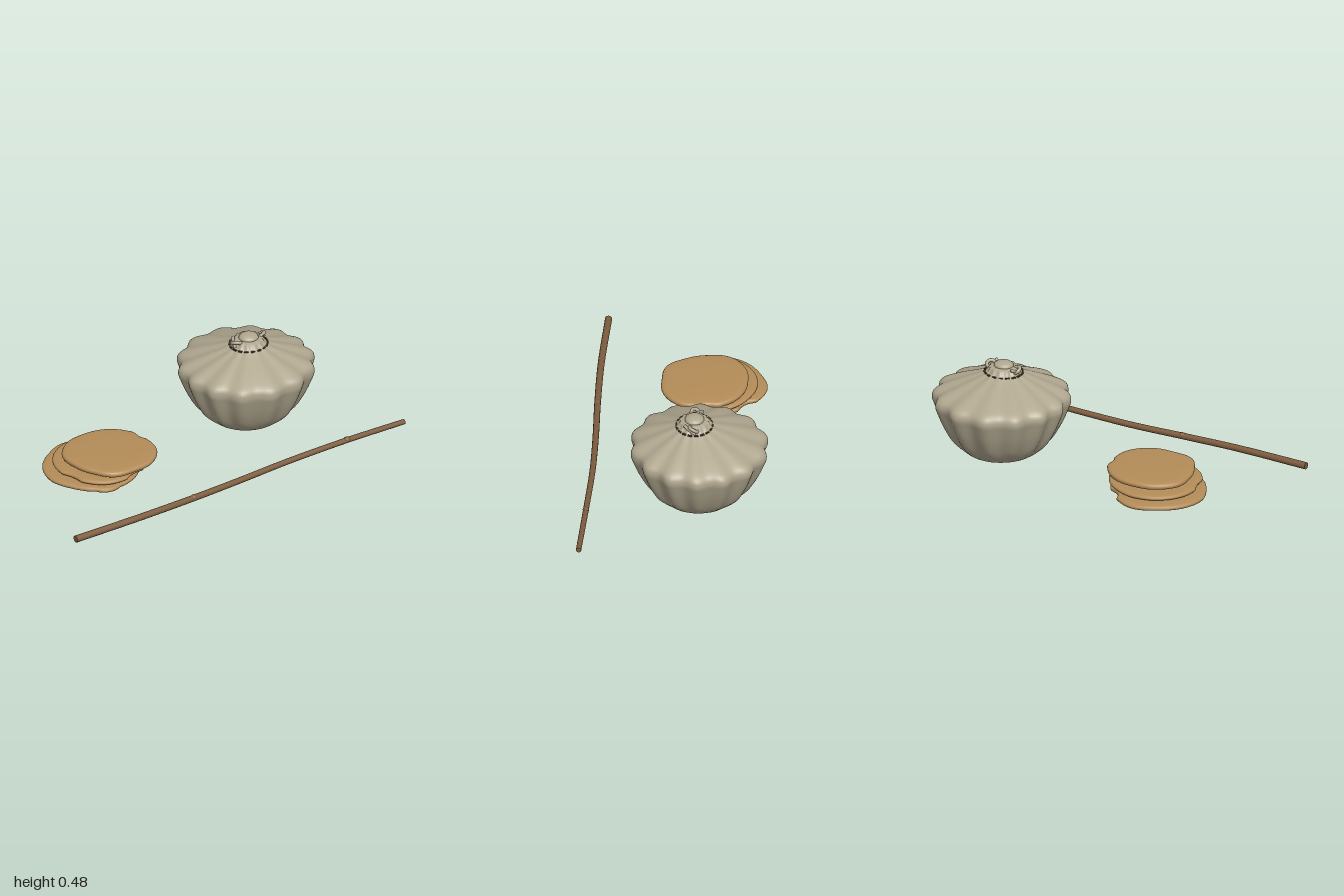
import * as THREE from 'three';
import { mergeVertices } from 'three/addons/utils/BufferGeometryUtils.js';

const mat = (name, color) => Object.assign(new THREE.MeshStandardMaterial({ color }), { name });

// Revolve a profile, move every vertex by a rule, then smooth across the seam
function molded(profile, segments, rule) {
  const g = new THREE.LatheGeometry(profile.map(([r, y]) => new THREE.Vector2(r, y)), segments);
  g.deleteAttribute('uv');
  g.deleteAttribute('normal');
  const p = g.attributes.position, v = new THREE.Vector3();
  for (let i = 0; i < p.count; i++) {
    v.fromBufferAttribute(p, i);
    rule(v, Math.atan2(v.z, v.x));
    p.setXYZ(i, v.x, v.y, v.z);
  }
  const merged = mergeVertices(g, 1e-5);
  merged.computeVertexNormals();
  return merged;
}

export function createModel() {
  const group = new THREE.Group();
  const cloth = mat('linen cloth', 0xb0a78f);
  const bread = mat('baked bread', 0xb48c58);
  const wood = mat('stick wood', 0x7d5c3e);
  const thread = mat('dark thread', 0x4f3b27);

  const add = (name, geometry, material, parent = group) => {
    const m = new THREE.Mesh(geometry, material);
    m.name = name;
    parent.add(m);
    return m;
  };

  // Pleated sack, with soft lobes that tighten towards the neck
  const outline = new THREE.SplineCurve([
    [0.155, 0.006], [0.19, 0.022], [0.245, 0.08], [0.29, 0.16], [0.323, 0.24], [0.336, 0.285],
    [0.322, 0.322], [0.26, 0.354], [0.18, 0.386], [0.125, 0.408], [0.088, 0.427], [0.07, 0.452],
  ].map(([r, y]) => new THREE.Vector2(r, y))).getPoints(44).map((q) => [q.x, q.y]);
  const sackProfile = [[0, 0.004], [0.1, 0.004], ...outline, [0.05, 0.457], [0, 0.457]];
  add('sack', molded(sackProfile, 168, (v, a) => {
    const wave = Math.cos(14 * a + 0.7 * Math.sin(2 * a) + 0.5);
    const amp = 0.034 * THREE.MathUtils.smoothstep(v.y, 0.0, 0.1);
    const s = 1 + amp * wave + 0.008 * Math.sin(3 * a + 1);
    const lean = THREE.MathUtils.smoothstep(v.y, 0.28, 0.43);
    v.x = v.x * s + 0.434;
    v.z = v.z * s - 0.125 + 0.023 * lean;
  }), cloth);

  // Gathered top with its knob, stitches and two tied loops
  const tie = new THREE.Group();
  tie.name = 'sackTie';
  tie.position.set(0.434, 0, -0.102);
  group.add(tie);
  add('knob', new THREE.SphereGeometry(1, 32, 16), cloth, tie).position.set(0, 0.458, 0);
  tie.children[0].scale.set(0.05, 0.023, 0.048);

  for (let i = 0; i < 18; i++) {
    const a = (i / 18) * Math.PI * 2;
    const s = add('stitch', new THREE.BoxGeometry(0.021, 0.006, 0.008), thread, tie);
    s.position.set(Math.sin(a) * 0.097, 0.424, Math.cos(a) * 0.09);
    s.rotation.y = a;
  }
  for (const side of [-1, 1]) {
    const loop = add('tieLoop', new THREE.TorusGeometry(0.022, 0.009, 10, 28), cloth, tie);
    loop.position.set(side * 0.072, 0.447, 0);
    loop.rotation.set(Math.PI / 2 - 0.5, side * 0.35, 0);
    const strand = new THREE.CatmullRomCurve3([
      [0.062, 0.46, 0.045], [0.079, 0.447, 0.02], [0.088, 0.428, -0.012],
    ].map(([x, y, z]) => new THREE.Vector3(side * x, y, side * z)));
    add('tieStrand', new THREE.TubeGeometry(strand, 12, 0.008, 8), cloth, tie);
  }

  // Stack of uneven flatbreads: radii listed every 30 degrees from +x towards +z
  const breads = [
    { at: [-0.49, 0.002, -0.15], h: 0.03,
      radii: [0.25, 0.24, 0.245, 0.25, 0.25, 0.24, 0.25, 0.245, 0.238, 0.25, 0.235, 0.235] },
    { at: [-0.455, 0.038, -0.12], h: 0.027,
      radii: [0.235, 0.235, 0.23, 0.23, 0.24, 0.235, 0.235, 0.24, 0.238, 0.232, 0.225, 0.23] },
    { at: [-0.42, 0.074, -0.09], h: 0.036,
      radii: [0.222, 0.235, 0.228, 0.212, 0.225, 0.21, 0.217, 0.24, 0.232, 0.217, 0.22, 0.222] },
  ];
  for (const { at, h, radii } of breads) {
    const rim = new THREE.CatmullRomCurve3(radii.map((r) => new THREE.Vector3(r, 0, 0)), true);
    const section = [[0, 0], [0.6, 0], [0.95, 0], [0.985, 0.1], [1, 0.3], [1, 0.5],
      [0.985, 0.68], [0.95, 0.8], [0.85, 0.87], [0.6, 0.95], [0.3, 1], [0, 1]];
    const disc = add('flatbread', molded(section, 96, (v, a) => {
      const r = rim.getPoint(((a / (Math.PI * 2)) + 1) % 1).x;
      v.set(v.x * r, v.y * h, v.z * r);
    }), bread);
    disc.position.set(...at);
  }

  // Crooked walking stick, tapering to its right-hand end
  const path = new THREE.CatmullRomCurve3([
    [-1, 0.038, 0.428], [-0.6, 0.036, 0.437], [-0.28, 0.031, 0.431], [0, 0.028, 0.42],
    [0.3, 0.033, 0.414], [0.65, 0.038, 0.422], [1, 0.034, 0.434],
  ].map((q) => new THREE.Vector3(...q)));
  const stick = new THREE.TubeGeometry(path, 80, 0.018, 12);
  const p = stick.attributes.position;
  for (let i = 0; i <= 80; i++) {
    const c = path.getPointAt(i / 80), k = 1 - 0.25 * (i / 80);
    for (let j = 0; j <= 12; j++) {
      const n = i * 13 + j;
      const v = new THREE.Vector3().fromBufferAttribute(p, n).sub(c).multiplyScalar(k).add(c);
      p.setXYZ(n, v.x, v.y, v.z);
    }
  }
  add('stick', stick, wood);
  for (const [t, r, dir] of [[0, 0.018, -1], [1, 0.0135, 1]]) {
    const cap = add('stickEnd', new THREE.CircleGeometry(r, 12), wood);
    cap.position.copy(path.getPoint(t));
    cap.rotation.y = (dir * Math.PI) / 2;
  }
  for (const t of [0.36, 0.83]) {
    const knot = add('stickKnot', new THREE.SphereGeometry(1, 12, 8), wood);
    knot.position.copy(path.getPointAt(t)).y += 0.004;
    knot.scale.set(0.02, 0.015, 0.016);
  }
  return group;
}
